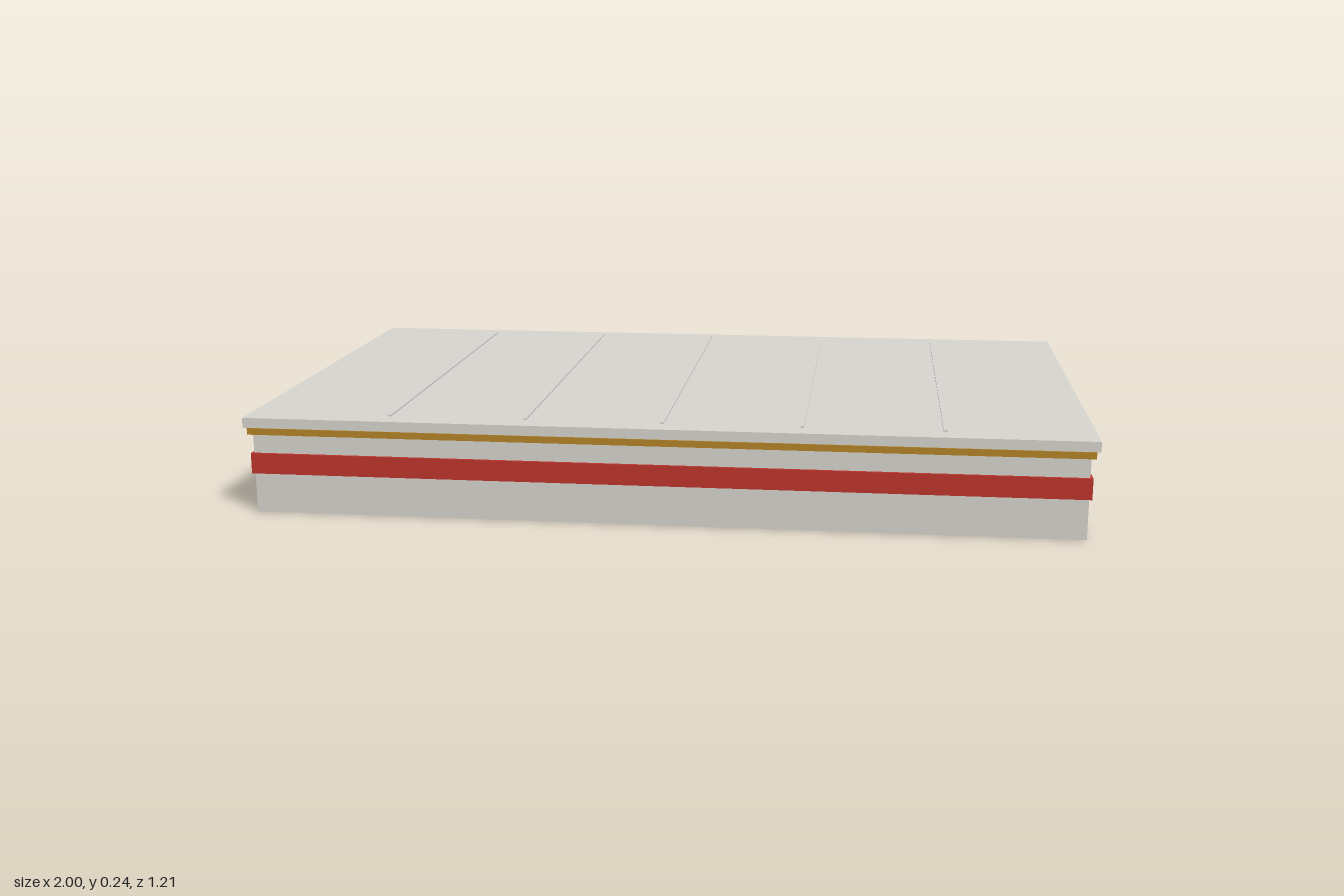
import * as THREE from 'three';

export function createModel() {
  const model = new THREE.Group();
  const makeMaterial = (name, color) => {
    const m = new THREE.MeshStandardMaterial({ color });
    m.name = name;
    return m;
  };
  const stone = makeMaterial('warm light grey', 0xd6d4ce);
  const red = makeMaterial('red', 0xbe362d);
  const gold = makeMaterial('gold', 0xb48328);

  // Centred slab given by half width, half depth, bottom and top
  const slab = (name, material, hx, hz, y0, y1, x = 0) => {
    const mesh = new THREE.Mesh(new THREE.BoxGeometry(hx * 2, y1 - y0, hz * 2), material);
    mesh.name = name;
    mesh.position.set(x, (y0 + y1) / 2, 0);
    model.add(mesh);
  };

  // Main block with its two raised bands and overhanging cap
  slab('base', stone, 0.982, 0.589, 0, 0.213);
  slab('redBand', red, 0.988, 0.596, 0.097, 0.147);
  slab('goldTrim', gold, 0.992, 0.601, 0.194, 0.21);
  slab('cap', stone, 1, 0.606, 0.212, 0.236);

  // Thin seams running front to back across the top
  for (let i = -2; i <= 2; i++) slab('roofSeam', stone, 0.004, 0.55, 0.235, 0.24, i * 0.328);

  return model;
}
